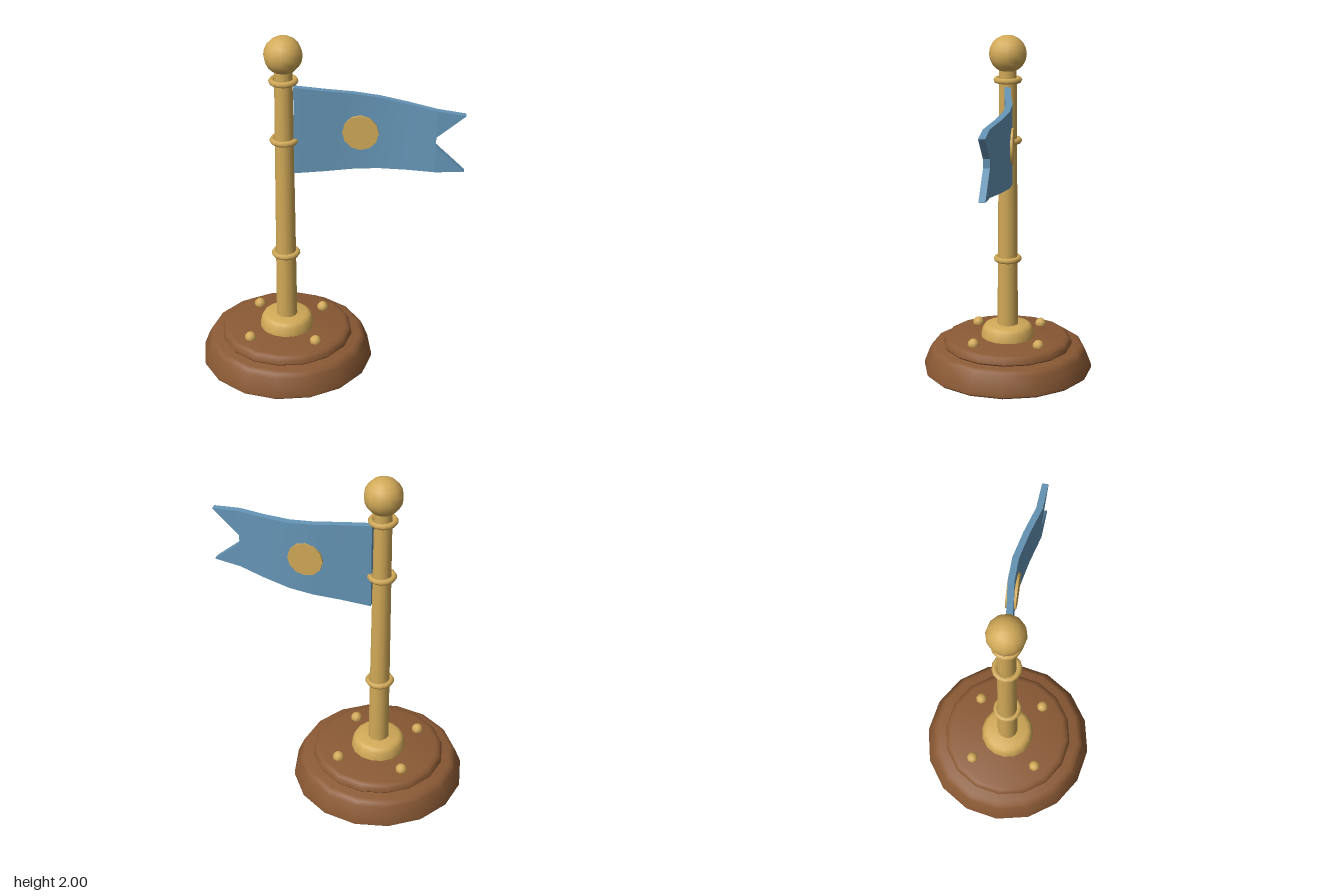
import * as THREE from 'three';
import { toCreasedNormals } from 'three/addons/utils/BufferGeometryUtils.js';

const material = (name, color) => {
  const m = new THREE.MeshStandardMaterial({ color });
  m.name = name;
  return m;
};

const lathe = (profile, sides) => toCreasedNormals(
  new THREE.LatheGeometry(profile.map(([r, y]) => new THREE.Vector2(r, y)), sides), 0.7);

// Closed cloth slab lofted through sections [x, z, bottom, top]
function clothSlab(sections, thickness) {
  const h = thickness / 2, pos = [];
  const rings = sections.map(([x, z, b, t]) => [[x, b, z + h], [x, t, z + h], [x, t, z - h], [x, b, z - h]]);
  const quad = (a, b, c, d) => pos.push(...a, ...b, ...c, ...a, ...c, ...d);
  for (let i = 0; i + 1 < rings.length; i++) {
    const p = rings[i], q = rings[i + 1];
    for (let k = 0; k < 4; k++) {
      const n = (k + 1) % 4;
      quad(p[k], q[k], q[n], p[n]);
    }
  }
  const first = rings[0], last = rings[rings.length - 1];
  quad(first[0], first[1], first[2], first[3]);
  quad(last[3], last[2], last[1], last[0]);
  const g = new THREE.BufferGeometry();
  g.setAttribute('position', new THREE.Float32BufferAttribute(pos, 3));
  return toCreasedNormals(g, 0.6);
}

export function createModel() {
  const wood = material('wood', 0x8b5a35);
  const brass = material('brass', 0xd2aa58);
  const cloth = material('blue cloth', 0x6595b6);

  const model = new THREE.Group();
  model.name = 'flagStand';
  const stand = new THREE.Group();
  stand.name = 'stand';
  stand.position.x = -0.25;
  model.add(stand);

  const add = (parent, name, geometry, mat, x = 0, y = 0, z = 0) => {
    const mesh = new THREE.Mesh(geometry, mat);
    mesh.name = name;
    mesh.position.set(x, y, z);
    parent.add(mesh);
    return mesh;
  };

  // Two-tier wooden base
  add(stand, 'lowerBase', lathe([[0, 0], [0.49, 0], [0.5, 0.01], [0.5, 0.03], [0.465, 0.12],
    [0.452, 0.142], [0.43, 0.152], [0, 0.152]], 16), wood);
  add(stand, 'upperBase', lathe([[0.375, 0.15], [0.383, 0.16], [0.38, 0.18], [0.367, 0.198],
    [0.345, 0.205], [0, 0.205]], 16), wood);

  // Collar, tapered pole and ball finial
  add(stand, 'collar', lathe([[0.158, 0.2], [0.158, 0.215], [0.148, 0.255], [0.138, 0.272],
    [0.12, 0.28], [0, 0.28]], 16), brass);
  add(stand, 'pole', new THREE.CylinderGeometry(0.05, 0.061, 1.57, 12), brass, 0, 1.035);
  add(stand, 'finial', new THREE.SphereGeometry(0.107, 12, 10), brass, 0, 1.893);

  // Rings around the pole
  for (const y of [0.685, 1.395, 1.745]) {
    add(stand, 'poleRing', new THREE.TorusGeometry(0.066, 0.017, 6, 14), brass, 0, y)
      .rotation.x = Math.PI / 2;
  }

  // Four studs on the base
  for (const x of [-0.19, 0.19]) for (const z of [-0.19, 0.19]) {
    add(stand, 'stud', new THREE.SphereGeometry(0.034, 8, 6), brass, x, 0.213, z);
  }

  // Waving swallow-tailed flag
  const flag = new THREE.Group();
  flag.name = 'flag';
  model.add(flag);
  const edge = (x) => 0.256 - (x + 0.19) * 0.097;
  const mid = 1.455, thickness = 0.036;
  const wave = [[-0.195, -0.003], [-0.02, -0.014], [0.13, -0.03], [0.27, -0.025], [0.43, 0.012], [0.588, 0.06]];
  add(flag, 'flagBody', clothSlab(wave.map(([x, z]) => [x, z, mid - edge(x), mid + edge(x)]), thickness), cloth);
  const root = wave[5], tip = [0.745, 0.072];
  const rootEdge = edge(root[0]), tipEdge = edge(tip[0]);
  add(flag, 'upperTail', clothSlab([[...root, mid + 0.025, mid + rootEdge],
    [...tip, mid + tipEdge - 0.002, mid + tipEdge]], thickness), cloth);
  add(flag, 'lowerTail', clothSlab([[...root, mid - rootEdge, mid - 0.025],
    [...tip, mid - tipEdge, mid - tipEdge + 0.002]], thickness), cloth);

  // Round medallion through the cloth
  add(flag, 'medallion', new THREE.CylinderGeometry(0.101, 0.101, 0.06, 12), brass, 0.172, mid, -0.026)
    .rotation.x = Math.PI / 2;

  return model;
}
